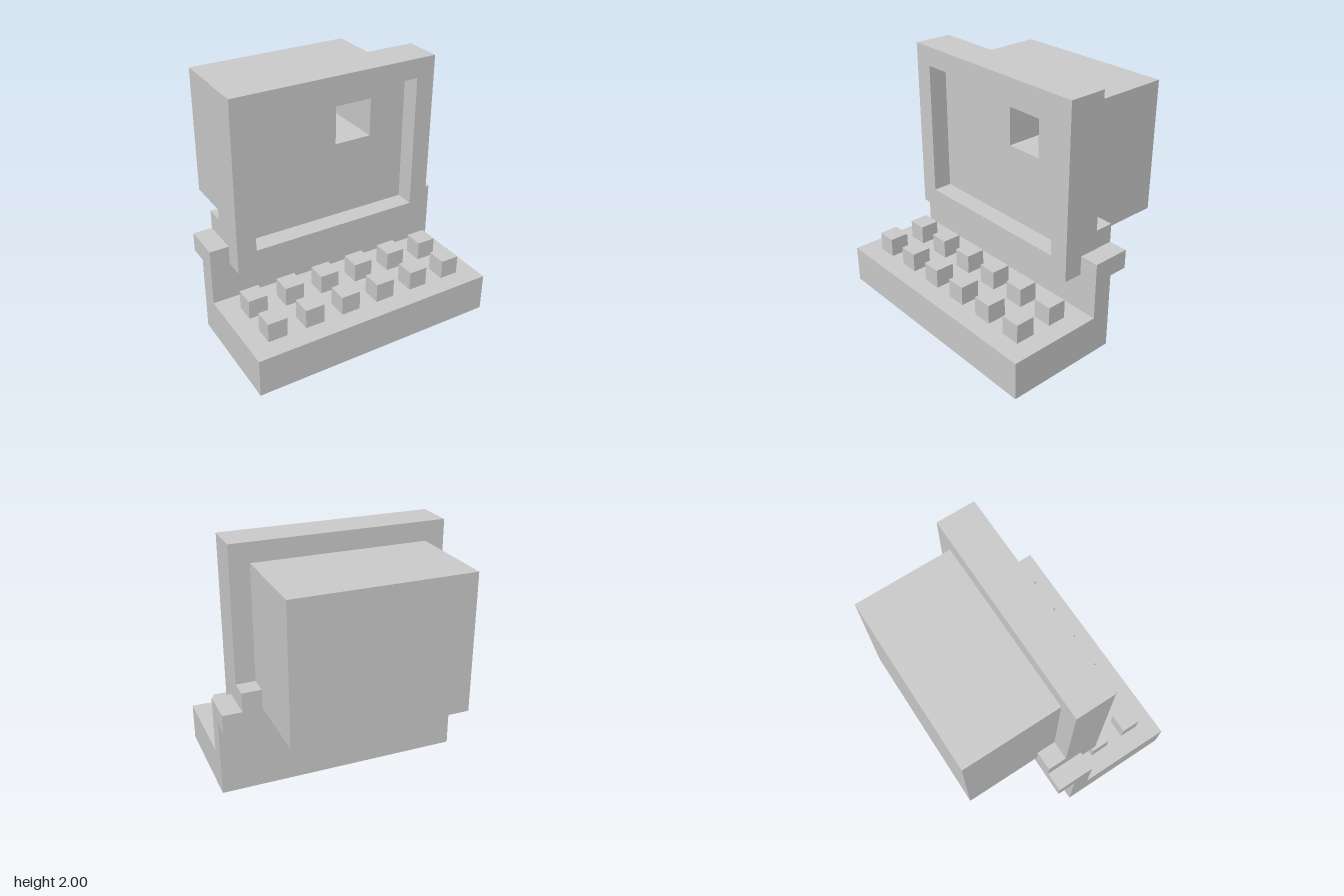
import * as THREE from 'three';

const U = 2 / 13; // one block of the grid the model is built on
const material = new THREE.MeshStandardMaterial({ color: 0xcccccc, flatShading: true });

function part(name, geometry) {
  geometry.scale(U, U, U);
  const mesh = new THREE.Mesh(geometry, material);
  mesh.name = name;
  return mesh;
}

// Box from its minimum and maximum corners, in blocks
function block(name, [x0, y0, z0], [x1, y1, z1]) {
  const geometry = new THREE.BoxGeometry(x1 - x0, y1 - y0, z1 - z0);
  geometry.translate((x0 + x1) / 2, (y0 + y1) / 2, (z0 + z1) / 2);
  return part(name, geometry);
}

function rectangle(target, x0, y0, x1, y1) {
  return target.moveTo(x0, y0).lineTo(x1, y0).lineTo(x1, y1).lineTo(x0, y1).closePath();
}

// Rectangular slab with a rectangular opening, between z0 and z1
function slab(name, outer, hole, z0, z1) {
  const shape = rectangle(new THREE.Shape(), ...outer);
  shape.holes.push(rectangle(new THREE.Path(), ...hole));
  const geometry = new THREE.ExtrudeGeometry(shape, { depth: z1 - z0, bevelEnabled: false });
  geometry.translate(0, 0, z0);
  return part(name, geometry);
}

export function createModel() {
  const model = new THREE.Group();
  model.name = 'computer';

  // Keyboard base, upright support and rear ledge share one side profile (z, y)
  const profile = [[5.5, 0], [5.5, 2], [0.5, 2], [0.5, 5], [-1.5, 5], [-1.5, 4], [-0.5, 4], [-0.5, 0]];
  const side = new THREE.Shape(profile.map(([z, y]) => new THREE.Vector2(z, y)));
  const base = new THREE.ExtrudeGeometry(side, { depth: 13, bevelEnabled: false });
  base.rotateY(-Math.PI / 2).translate(6.5, 0, 0);
  model.add(part('base', base));

  // Two rows of six keys
  const keys = new THREE.Group();
  keys.name = 'keys';
  for (const z of [1.5, 3.5]) {
    for (let x = -5.5; x < 5.5; x += 2) keys.add(block('key', [x, 2, z], [x + 1, 3, z + 1]));
  }
  model.add(keys);

  // Monitor: bezel, recessed screen with a square pocket, and the rear casing
  const monitor = new THREE.Group();
  monitor.name = 'monitor';
  const face = [-5.5, 4, 5.5, 13];
  const opening = [-4.5, 5, 4.5, 12];
  const pocket = [0.5, 9, 2.5, 11];
  monitor.add(
    slab('bezel', face, opening, 0.5, 1.5),
    slab('screen', face, pocket, -0.5, 0.5),
    slab('casingFront', opening, pocket, -3.5, -0.5),
    block('casingBack', [-4.5, 5, -5.5], [4.5, 12, -3.5])
  );
  model.add(monitor);

  // Small brackets standing on the ledge beside the casing
  for (const [name, x] of [['leftBracket', 4.5], ['rightBracket', -5.5]]) {
    model.add(block(name, [x, 5, -1.5], [x + 1, 6, -0.5]));
  }
  return model;
}
